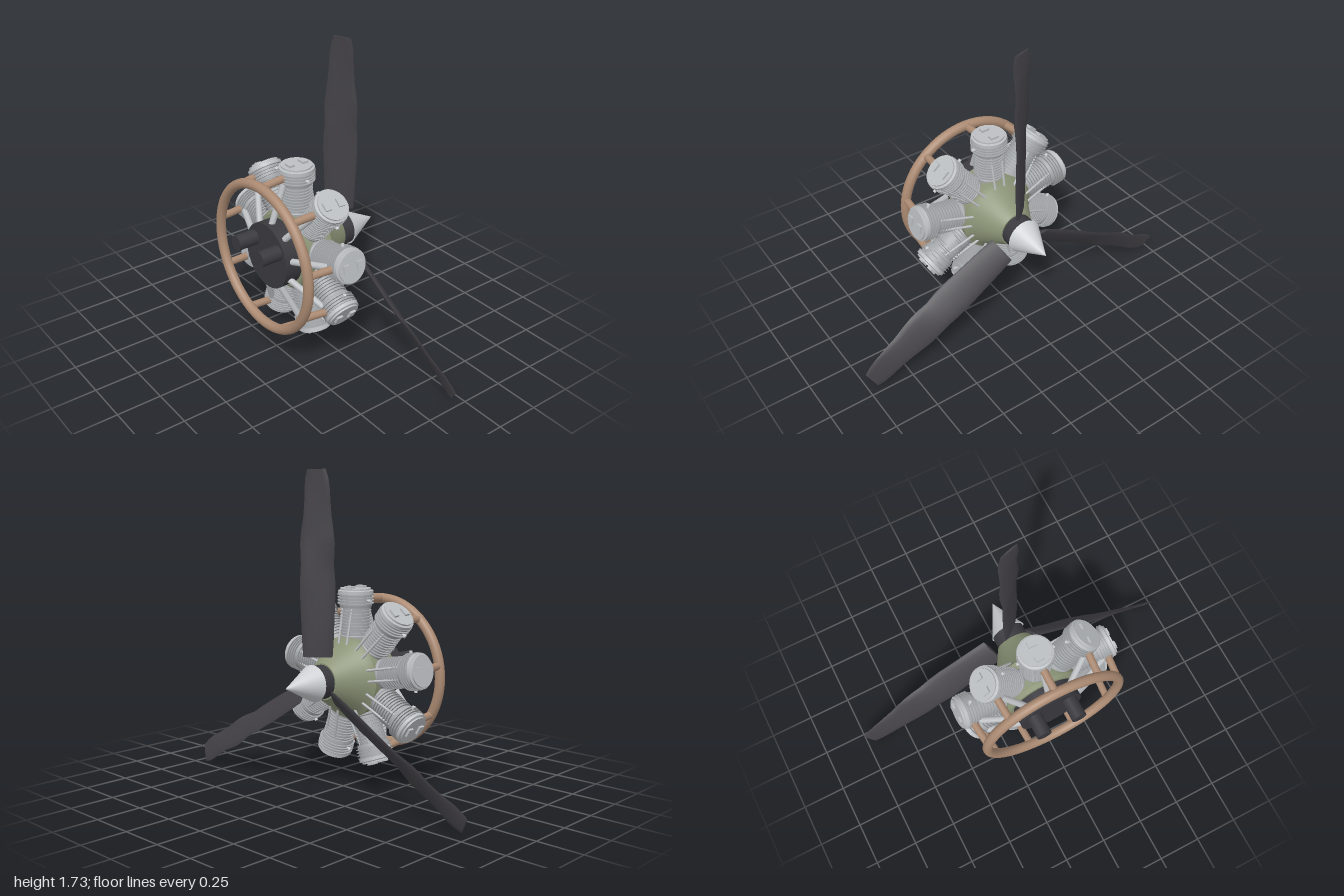
import * as THREE from 'three';
import { toCreasedNormals } from 'three/addons/utils/BufferGeometryUtils.js';

const V = (x, y, z) => new THREE.Vector3(x, y, z);
const paint = (name, color) => {
  const m = new THREE.MeshStandardMaterial({ color });
  m.name = name;
  return m;
};

// Lathe around y with crisp edges; profile runs bottom to top as [radius, height]
const lathe = (profile, sides = 32) =>
  toCreasedNormals(new THREE.LatheGeometry(profile.map(([r, h]) => new THREE.Vector2(r, h)), sides), 0.6);

// The same, turned to lie along z
const latheZ = (profile, sides = 48) => lathe(profile, sides).rotateX(Math.PI / 2);

// Straight round rod between two points
function rod(a, b, radius, sides = 14) {
  const d = b.clone().sub(a);
  const g = new THREE.CylinderGeometry(radius, radius, d.length(), sides);
  g.applyQuaternion(new THREE.Quaternion().setFromUnitVectors(V(0, 1, 0), d.normalize()));
  return g.translate(...a.clone().add(b).multiplyScalar(0.5).toArray());
}

// Twisted blade: rows of [radius, half width in x, half width in z, half thickness, x shift]
function bladeGeometry() {
  const rows = [
    [0.138, 0.058, 0.052, 0.012, 0], [0.22, 0.064, 0.054, 0.014, 0], [0.35, 0.069, 0.056, 0.014, 0],
    [0.48, 0.071, 0.061, 0.013, 0], [0.56, 0.07, 0.06, 0.012, 0], [0.63, 0.067, 0.055, 0.012, 0.002],
    [0.68, 0.073, 0.053, 0.011, 0.001], [0.74, 0.079, 0.049, 0.011, 0.001], [0.8, 0.076, 0.044, 0.01, 0.001],
    [0.88, 0.066, 0.038, 0.009, 0], [0.96, 0.065, 0.031, 0.008, 0], [1.03, 0.068, 0.024, 0.007, 0.002],
    [1.08, 0.064, 0.02, 0.006, 0.004], [1.123, 0.052, 0.015, 0.005, 0.006],
  ];
  const n = 14, pos = [], idx = [];
  rows.forEach(([r, hx, hz, t, shift]) => {
    const c = Math.hypot(hx, hz), a = hx / c, b = hz / c;
    for (let j = 0; j < n; j++) {
      const q = (j / n) * Math.PI * 2, u = c * Math.cos(q), v = t * Math.sin(q);
      pos.push(a * u - b * v + shift, r, -b * u - a * v);
    }
  });
  const last = (rows.length - 1) * n;
  for (let i = 0; i < rows.length - 1; i++) {
    for (let j = 0; j < n; j++) {
      const p = i * n + j, q = i * n + ((j + 1) % n);
      idx.push(p, q, q + n, p, q + n, p + n);
    }
  }
  for (let j = 1; j < n - 1; j++) idx.push(0, j + 1, j, last, last + j, last + j + 1);
  const g = new THREE.BufferGeometry();
  g.setAttribute('position', new THREE.Float32BufferAttribute(pos, 3));
  g.setIndex(idx);
  return toCreasedNormals(g, 0.9);
}

// Finned barrel: thin discs stacked on a core
function finnedBarrel() {
  const profile = [[0, 0.19], [0.082, 0.19], [0.082, 0.225]];
  const fins = (from, to, count, core, radius) => {
    const step = (to - from) / count;
    for (let i = 0; i < count; i++) {
      const y = from + i * step;
      profile.push([core, y], [core, y + step * 0.65], [radius, y + step * 0.68], [radius, y + step * 0.97]);
    }
  };
  fins(0.23, 0.385, 9, 0.077, 0.087);
  fins(0.39, 0.455, 4, 0.09, 0.101);
  profile.push([0, 0.455]);
  return lathe(profile, 28);
}

export function createModel() {
  const green = paint('crankcase green', 0x8b9477);
  const copper = paint('copper', 0xab8a72);
  const black = paint('accessory black', 0x3a3a3f);
  const bladeGrey = paint('blade charcoal', 0x434146);
  const steel = paint('fin steel', 0xa4a7aa);
  const alloy = paint('light alloy', 0xbcbfc2);
  const bright = paint('spinner alloy', 0xcccfd2);

  const model = new THREE.Group();
  const engine = new THREE.Group();
  engine.name = 'engine';
  engine.position.y = 0.607;
  model.add(engine);
  const add = (parent, name, geometry, material) => {
    const mesh = new THREE.Mesh(geometry, material);
    mesh.name = name;
    parent.add(mesh);
    return mesh;
  };

  // Central body along z
  add(engine, 'crankcase', latheZ([[0, -0.16], [0.1, -0.16], [0.194, 0], [0.224, 0.02],
    [0.224, 0.185], [0.205, 0.205], [0, 0.205]]), green);
  add(engine, 'accessoryCase', latheZ([[0, 0.2], [0.186, 0.2], [0.186, 0.305], [0, 0.305]]), black);
  add(engine, 'propellerHub', latheZ([[0, -0.235], [0.092, -0.235], [0.092, -0.155], [0, -0.155]]), black);
  add(engine, 'spinner', latheZ([[0, -0.43], [0.1, -0.232], [0, -0.232]]), bright);
  for (const s of [-1, 1]) {
    add(engine, 'magneto', rod(V(s * 0.108, 0.068, 0.29), V(s * 0.108, 0.068, 0.425), 0.043, 28), black);
  }

  // Collector ring
  add(engine, 'collectorRing', new THREE.TorusGeometry(0.411, 0.028, 16, 72).translate(0, 0, 0.33), copper);

  // Nine radial cylinders with their pipes and rods
  const barrel = finnedBarrel();
  const cap = lathe([[0, 0.45], [0.097, 0.45], [0.097, 0.473], [0.085, 0.477], [0.085, 0.486], [0, 0.486]], 32);
  const rocker = new THREE.BoxGeometry(0.048, 0.026, 0.034);
  const exhaust = rod(V(0, 0.411, 0.33), V(0, 0.428, 0.17), 0.021);
  const intake = rod(V(0, 0.165, 0.27), V(0, 0.4, 0.18), 0.018);
  const plug = rod(V(-0.112, 0.42, 0.1), V(0.112, 0.42, 0.1), 0.009, 10);
  for (let i = 0; i < 9; i++) {
    const unit = new THREE.Group();
    unit.name = 'cylinder';
    unit.rotation.z = (-i * Math.PI * 2) / 9;
    engine.add(unit);
    add(unit, 'finnedBarrel', barrel, steel).position.z = 0.1;
    add(unit, 'cylinderHead', cap, alloy).position.z = 0.1;
    for (const z of [0.057, 0.143]) add(unit, 'rockerCover', rocker, alloy).position.set(0, 0.485, z);
    add(unit, 'exhaustPipe', exhaust, copper);
    add(unit, 'intakePipe', intake, alloy);
    add(unit, 'sparkPlugs', plug, bright);
    for (const s of [-1, 1]) {
      add(unit, 'pushRod', rod(V(s * 0.03, 0.18, -0.004), V(s * 0.034, 0.4, 0.038), 0.007, 10), alloy);
    }
  }

  // Three-bladed propeller
  const blade = bladeGeometry();
  for (let i = 0; i < 3; i++) {
    const mesh = add(engine, 'propellerBlade', blade, bladeGrey);
    mesh.position.z = -0.193;
    mesh.rotation.z = (i * Math.PI * 2) / 3;
  }
  return model;
}
